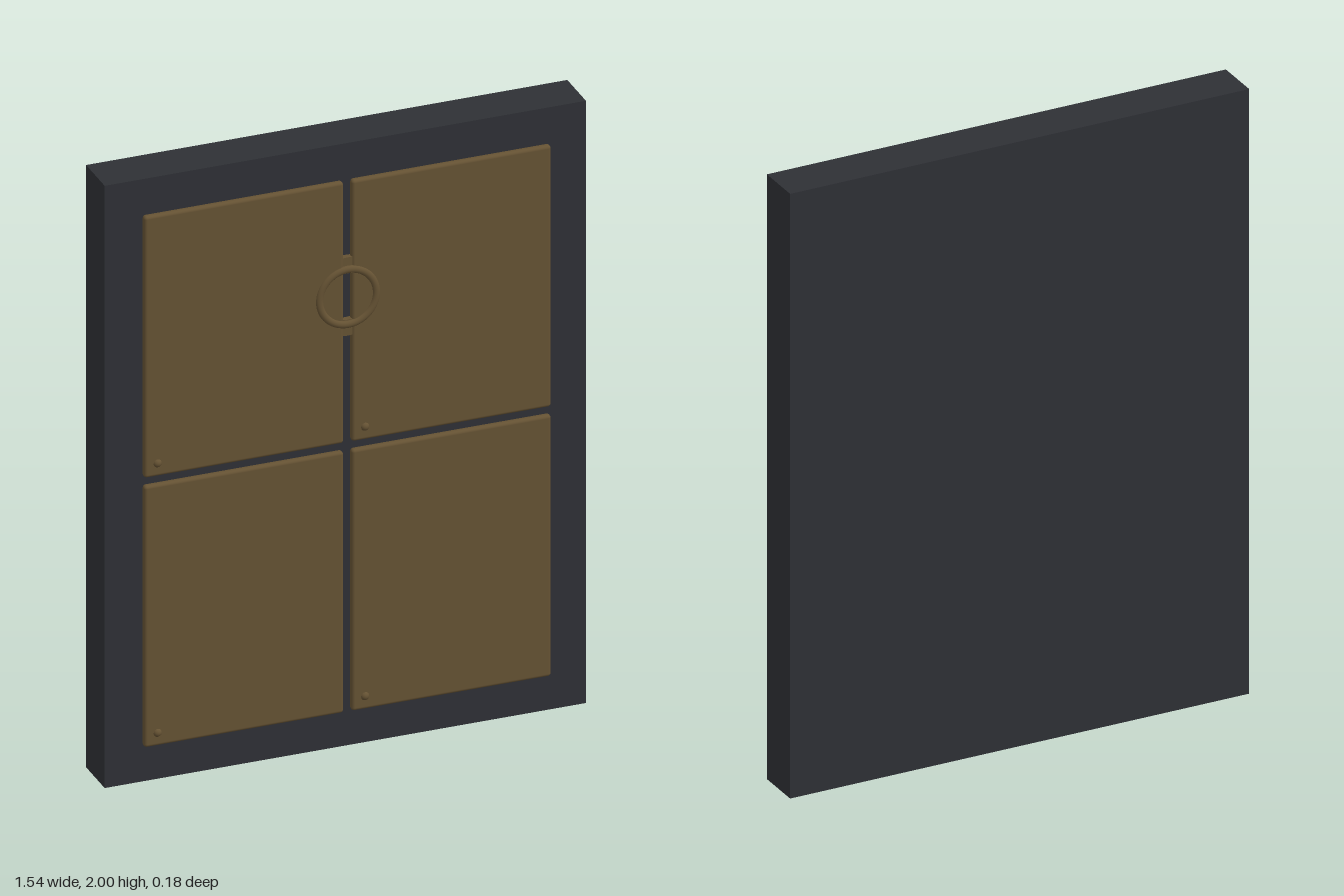
import * as THREE from 'three';
import { RoundedBoxGeometry } from 'three/addons/geometries/RoundedBoxGeometry.js';

const FRONT = 0.06; // front face of the backing slab

export function createModel() {
  const model = new THREE.Group();
  const slate = new THREE.MeshStandardMaterial({ color: 0x2e3035 });
  const bronze = new THREE.MeshStandardMaterial({ color: 0x655233 });

  const add = (name, geometry, material, x, y, z) => {
    const mesh = new THREE.Mesh(geometry, material);
    mesh.name = name;
    mesh.position.set(x, y, z);
    model.add(mesh);
    return mesh;
  };

  // Backing slab
  add('backingSlab', new THREE.BoxGeometry(1.54, 2, 0.15), slate, 0, 1, FRONT - 0.075);

  // Four softly rounded panels, each with a stud in its lower corner
  const width = 0.638, height = 0.868;
  const panel = new RoundedBoxGeometry(width, height, 0.024, 3, 0.01);
  const stud = new THREE.SphereGeometry(0.015, 20, 12);
  for (const x of [-0.332, 0.332]) {
    for (const y of [0.554, 1.449]) {
      add('panel', panel, bronze, x, y, FRONT + 0.01);
      add('stud', stud, bronze, x - width / 2 + 0.042, y - height / 2 + 0.044, FRONT + 0.015);
    }
  }

  // Collar bridging the gap between the upper panels, just below their faces
  const collar = new THREE.Shape().absarc(0, 0, 0.13, 0, Math.PI * 2);
  collar.holes.push(new THREE.Path().absarc(0, 0, 0.077, 0, Math.PI * 2, true));
  add('collar', new THREE.ExtrudeGeometry(collar, { depth: 0.019, bevelEnabled: false, curveSegments: 32 }),
    bronze, 0, 1.5, FRONT);

  // Raised ring on the collar
  const ring = add('ring', new THREE.TorusGeometry(0.091, 0.012, 12, 64), bronze, 0, 1.5, FRONT + 0.02);
  ring.scale.z = 0.8;

  return model;
}
